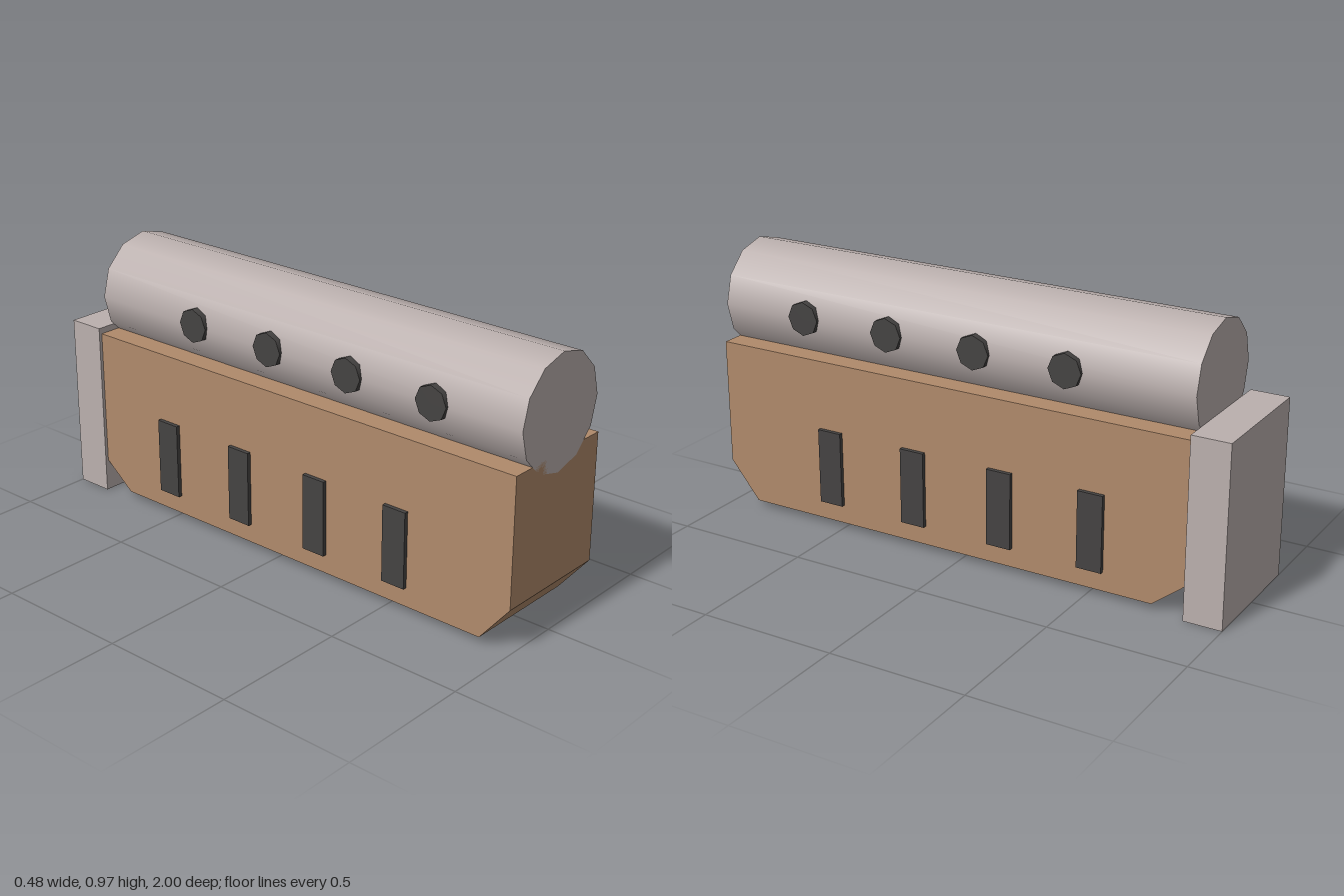
import * as THREE from 'three';

const material = (name, color) => {
  const m = new THREE.MeshStandardMaterial({ color });
  m.name = name;
  return m;
};

export function createModel() {
  const group = new THREE.Group();
  const brown = material('brown', 0xb08a6b);
  const grey = material('paleGrey', 0xbbb0ae);
  const dark = material('charcoal', 0x454342);

  const add = (name, geometry, mat, x, y, z) => {
    const mesh = new THREE.Mesh(geometry, mat);
    mesh.name = name;
    mesh.position.set(x, y, z);
    group.add(mesh);
  };

  // Lower body: side profile (z, y) with bevelled ends, extruded across x
  const profile = new THREE.Shape([
    [1, 0.63], [-0.86, 0.63], [-0.86, 0.12], [-0.74, 0.025], [0.885, 0.025], [1, 0.165],
  ].map(([z, y]) => new THREE.Vector2(z, y)));
  const body = new THREE.ExtrudeGeometry(profile, { depth: 0.45, bevelEnabled: false });
  body.translate(0, 0, -0.225).rotateY(-Math.PI / 2);
  add('lowerBody', body, brown, 0, 0, 0);

  // Upper barrel: twelve sides, smooth along its wall
  const barrel = new THREE.CylinderGeometry(0.204, 0.204, 1.86, 12).rotateX(Math.PI / 2);
  add('upperBarrel', barrel, grey, 0, 0.768, 0.07);

  // Rear end block
  add('rearBlock', new THREE.BoxGeometry(0.474, 0.653, 0.14), grey, 0, 0.3265, -0.93);

  // Round ports on the barrel and upright panels on the body, both sides
  const port = new THREE.CylinderGeometry(0.062, 0.062, 0.04, 8).rotateZ(Math.PI / 2);
  const panel = new THREE.BoxGeometry(0.03, 0.28, 0.094);
  for (const side of [-1, 1]) {
    for (let i = 0; i < 4; i++) {
      add('roundPort', port, dark, side * 0.193, 0.77, 0.655 - i * 0.35);
      add('sidePanel', panel, dark, side * 0.225, 0.235, 0.538 - i * 0.35);
    }
  }
  return group;
}
